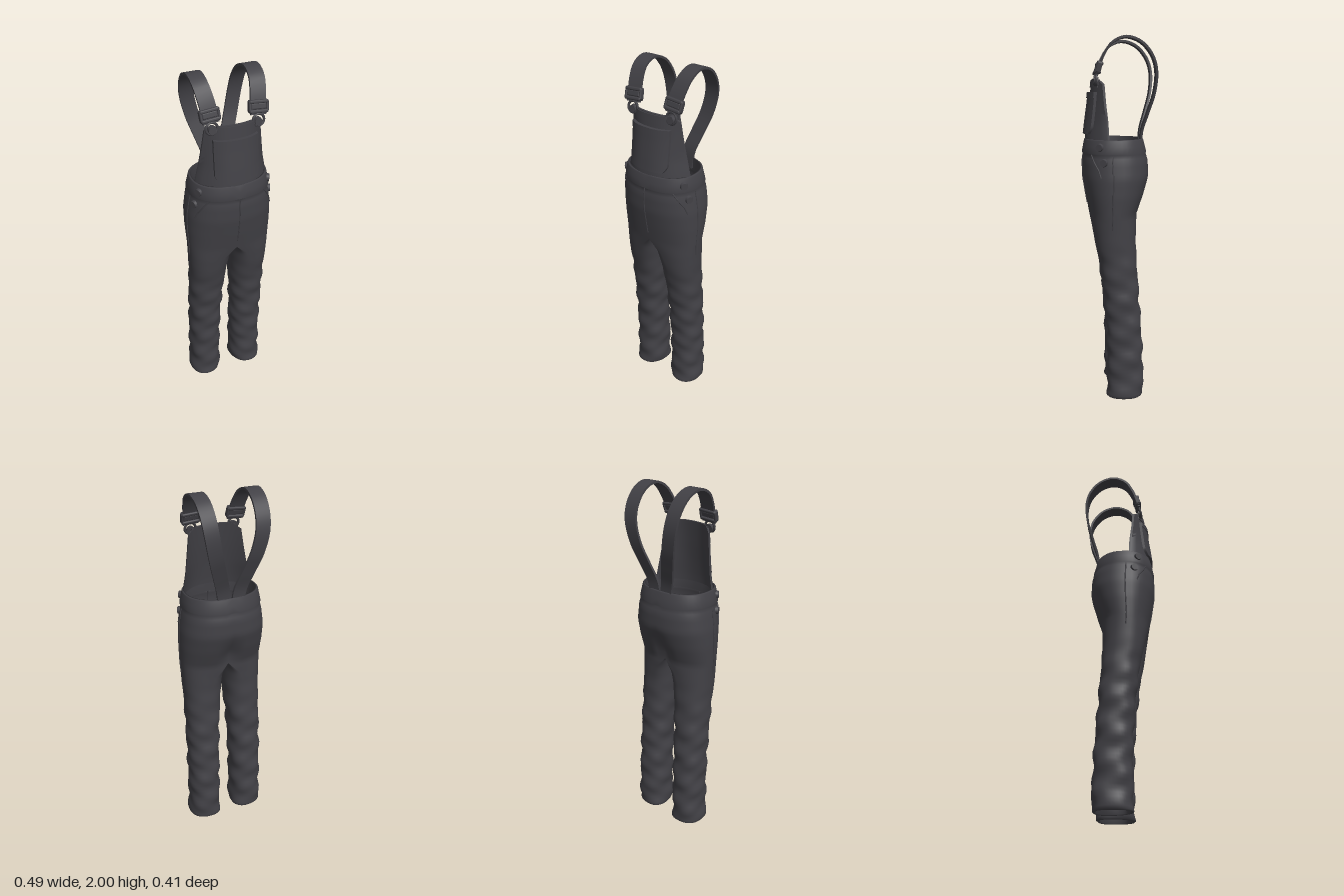
import * as THREE from 'three';
import { mergeGeometries, mergeVertices, toCreasedNormals } from 'three/addons/utils/BufferGeometryUtils.js';
import { RoundedBoxGeometry } from 'three/addons/geometries/RoundedBoxGeometry.js';

const cloth = new THREE.MeshStandardMaterial({ color: 0x424146, side: THREE.DoubleSide });
cloth.name = 'charcoal cloth';

// Height, inner x, middle x, outer x, back z, front z of one trouser half
const LEVELS = [
  [0, .045, .14, .23, -.135, .075], [.1, .045, .138, .226, -.135, .07],
  [.3, .043, .135, .225, -.128, .07], [.5, .04, .13, .225, -.115, .08],
  [.65, .032, .125, .225, -.105, .095], [.8, .02, .115, .225, -.095, .115],
  [.9, .012, .1, .228, -.092, .137], [.98, .005, .07, .232, -.095, .15],
  [1.05, 0, 0, .236, -.105, .165], [1.15, 0, 0, .24, -.14, .182],
  [1.25, 0, 0, .238, -.168, .198], [1.34, 0, 0, .225, -.165, .2],
  [1.38, 0, 0, .216, -.153, .194], [1.386, 0, 0, .222, -.157, .202],
  [1.46, 0, 0, .207, -.138, .188],
];
const CROTCH = 1.05, WAIST = 1.46;

function lerpTable(table, y) {
  let i = 1;
  while (i < table.length - 1 && table[i][0] < y) i++;
  const a = table[i - 1], b = table[i];
  const t = THREE.MathUtils.clamp((y - a[0]) / (b[0] - a[0]), 0, 1);
  return a.map((v, k) => v + (b[k] - v) * t);
}
const softPow = v => Math.sign(v) * Math.abs(v) ** 0.87;

// Point on the left half: angle PI/2 is front, 0 is the outer side, -PI/2 is back
function body(y, th, inset = 0) {
  const [, xin, mid, out, zb, zf] = lerpTable(LEVELS, y);
  const c = softPow(Math.cos(th)), s = softPow(Math.sin(th));
  const fade = 1 - THREE.MathUtils.smoothstep(y, .55, 1.0);
  const fold = fade * (.004 * Math.sin(y * 36 + 2 * th) + .003 * Math.sin(y * 57 - 3 * th)) - inset;
  let x = mid + (c > 0 ? out - mid : mid - xin) * c + fold * c;
  if (Math.abs(x) < 1e-6 || (y >= CROTCH - 1e-6 && Math.abs(Math.cos(th)) < 1e-6)) x = 0;
  let z = (zb + zf) / 2 + (zf - zb) / 2 * s + fold * s;
  // Cleft at the back seam
  if (s < 0) z -= .03 * s * Math.exp(-((x / .04) ** 2) - (((y - 1.12) / .08) ** 2));
  return new THREE.Vector3(x, y, z);
}

// Surface through rows of points
function skin(rows, closed = false) {
  const n = rows[0].length, idx = [];
  for (let i = 0; i < rows.length - 1; i++) {
    for (let j = 0; j < (closed ? n : n - 1); j++) {
      const k = (j + 1) % n, a = i * n + j, b = i * n + k;
      idx.push(a, b, b + n, a, b + n, a + n);
    }
  }
  const g = new THREE.BufferGeometry().setFromPoints(rows.flat());
  g.setIndex(idx);
  return g;
}
const crisp = g => { g.computeVertexNormals(); return toCreasedNormals(g, .7); };

function trousers() {
  const N = 22, parts = [];
  const row = (y, from, to, inset) => Array.from({ length: N + 1 },
    (_, j) => body(y, from + (to - from) * j / N, inset));
  const low = [[.05, .02], [.004, .018], [0, .008], [.006, 0]];
  for (let i = 1; i <= 50; i++) low.push([CROTCH * i / 50, 0]);
  const high = [];
  for (let i = 0; i <= 16; i++) high.push([CROTCH + .33 * i / 16, 0]);
  high.push([1.386, 0], [1.42, 0], [1.455, 0], [WAIST, .004], [WAIST, .012], [1.38, .016]);
  const h = Math.PI / 2;
  for (const s of [1, -1]) {
    for (const g of [
      skin(low.map(([y, d]) => row(y, h, -h, d))),
      skin(low.map(([y, d]) => row(y, -h, -3 * h, d))),
      skin(high.map(([y, d]) => row(y, h, -h, d))),
    ]) {
      if (s < 0) {
        g.scale(-1, 1, 1);
        g.index.array.reverse();
      }
      parts.push(g);
    }
  }
  const g = mergeVertices(mergeGeometries(parts), 1e-4);
  g.computeVertexNormals();
  return g;
}

// Bib: height, half width, middle z, how far the edge curves back
const BIB = [[1.43, .2, .187, .115], [1.46, .197, .185, .115], [1.55, .178, .174, .1],
  [1.65, .163, .16, .075], [1.78, .146, .145, .05]];
function bibZ(x, y) {
  const [, w, z, drop] = lerpTable(BIB, y);
  return z - drop * Math.abs(x / w) ** 2.5;
}

// Curved panel with thickness; point(u, v) gives its front
function panel(point, t, nv = 14, nu = 16) {
  const rows = [];
  for (let i = -1; i <= nv + 1; i++) {
    const v = THREE.MathUtils.clamp(i / nv, 0, 1), d = i < 0 || i > nv ? 0 : t;
    const front = Array.from({ length: nu + 1 }, (_, j) => point(j / nu * 2 - 1, v));
    const back = front.map(p => p.clone().setZ(p.z - d)).reverse();
    rows.push([...front, ...back]);
  }
  return crisp(skin(rows, true));
}

// Strap path: x, y, z
const STRAP = [[.124, 1.8, .12], [.128, 1.85, .105], [.137, 1.91, .08], [.146, 1.965, .04],
  [.149, 1.993, -.03], [.147, 1.968, -.11], [.143, 1.9, -.17], [.135, 1.82, -.194],
  [.112, 1.71, -.187], [.078, 1.6, -.156], [.048, 1.5, -.127], [.036, 1.4, -.122]];
function strap(s) {
  const curve = new THREE.CatmullRomCurve3(STRAP.map(([x, y, z]) => new THREE.Vector3(x * s, y, z)));
  const rows = [], n = 44;
  for (let i = 0; i <= n; i++) {
    const p = curve.getPointAt(i / n), T = curve.getTangentAt(i / n);
    const W = new THREE.Vector3(1, 0, 0).addScaledVector(T, -T.x).normalize();
    const N = new THREE.Vector3().crossVectors(W, T);
    const hw = .042 - .006 * i / n;
    rows.push([[-1, 1], [1, 1], [1, -1], [-1, -1]].map(([a, b]) =>
      p.clone().addScaledVector(W, a * hw).addScaledVector(N, b * .006)));
  }
  return crisp(skin(rows, true));
}

export function createModel() {
  const model = new THREE.Group();
  model.name = 'overalls';
  const add = (name, geometry, parent = model) => {
    const m = new THREE.Mesh(geometry, cloth);
    m.name = name;
    parent.add(m);
    return m;
  };

  add('trousers', trousers());

  // Bib with its pocket and hems
  const strip = (y0, y1, half, lift, t, clip = 0) => panel((u, v) => {
    const y = y0 + (y1 - y0) * v;
    const x = u * half * (1 - clip * Math.max(0, 1 - v / .12));
    return new THREE.Vector3(x, y, bibZ(x, y) + lift);
  }, t);
  add('bib', panel((u, v) => {
    const y = 1.43 + .35 * v - .03 * v * Math.abs(u) ** 6;
    const x = u * lerpTable(BIB, y)[1];
    return new THREE.Vector3(x, y, bibZ(x, y));
  }, .012));
  add('bibHem', strip(1.735, 1.775, .125, .005, .012));
  add('bibPocket', strip(1.487, 1.71, .12, .014, .02, .14));
  add('bibPocketHem', strip(1.68, 1.71, .12, .018, .01));

  // Raised seam following the cloth
  const seam = (name, s, points) => {
    const pts = [];
    for (let i = 0; i <= 12; i++) {
      const [y, th] = lerpTable(points, points[0][0] + (points.at(-1)[0] - points[0][0]) * i / 12);
      const p = body(y, th);
      p.x *= s;
      pts.push(p);
    }
    add(name, new THREE.TubeGeometry(new THREE.CatmullRomCurve3(pts), 24, .004, 5));
  };
  seam('flySeam', 1, [[1.1, Math.PI / 2], [1.38, Math.PI / 2]]);

  for (const s of [1, -1]) {
    const side = s > 0 ? 'left' : 'right';
    add(side + 'Strap', strap(s));

    // Buckle frame, slider and bib button
    const buckle = new THREE.Group();
    buckle.name = side + 'Buckle';
    buckle.position.set(.128 * s, 1.84, .109);
    buckle.rotation.set(-.3, 0, -.08 * s);
    model.add(buckle);
    for (const y of [-.025, .022]) {
      add('buckleBar', new RoundedBoxGeometry(.1, .018, .034, 2, .007), buckle).position.y = y;
    }
    for (const x of [-.046, .046]) {
      add('buckleSide', new RoundedBoxGeometry(.014, .055, .028, 2, .006), buckle).position.x = x;
    }
    add('buckleSlider', new RoundedBoxGeometry(.08, .03, .024, 2, .006), buckle);
    const loop = add('buckleLoop', new THREE.TorusGeometry(.03, .007, 6, 16));
    loop.position.set(.124 * s, 1.775, .126);
    loop.rotation.x = -.15;
    const stud = add('bibButton', new THREE.CylinderGeometry(.02, .024, .022, 14));
    stud.position.set(.122 * s, 1.765, .126);
    stud.rotation.x = Math.PI / 2 - .15;

    // Hip buttons
    for (const [y, th] of [[1.42, .47], [1.34, .35]]) {
      const p = body(y, th);
      const b = add('hipButton', new THREE.CylinderGeometry(.019, .024, .02, 14));
      b.position.set(p.x * s, p.y, p.z);
      b.quaternion.setFromUnitVectors(new THREE.Vector3(0, 1, 0),
        new THREE.Vector3(s * Math.cos(th), 0, Math.sin(th) * 1.25).normalize());
    }
    seam('hipPocketSeam', s, [[1.26, .45], [1.3, .52], [1.38, .82]]);
    seam('sideSeam', s, [[.98, .08], [1.37, .1]]);
  }
  return model;
}
